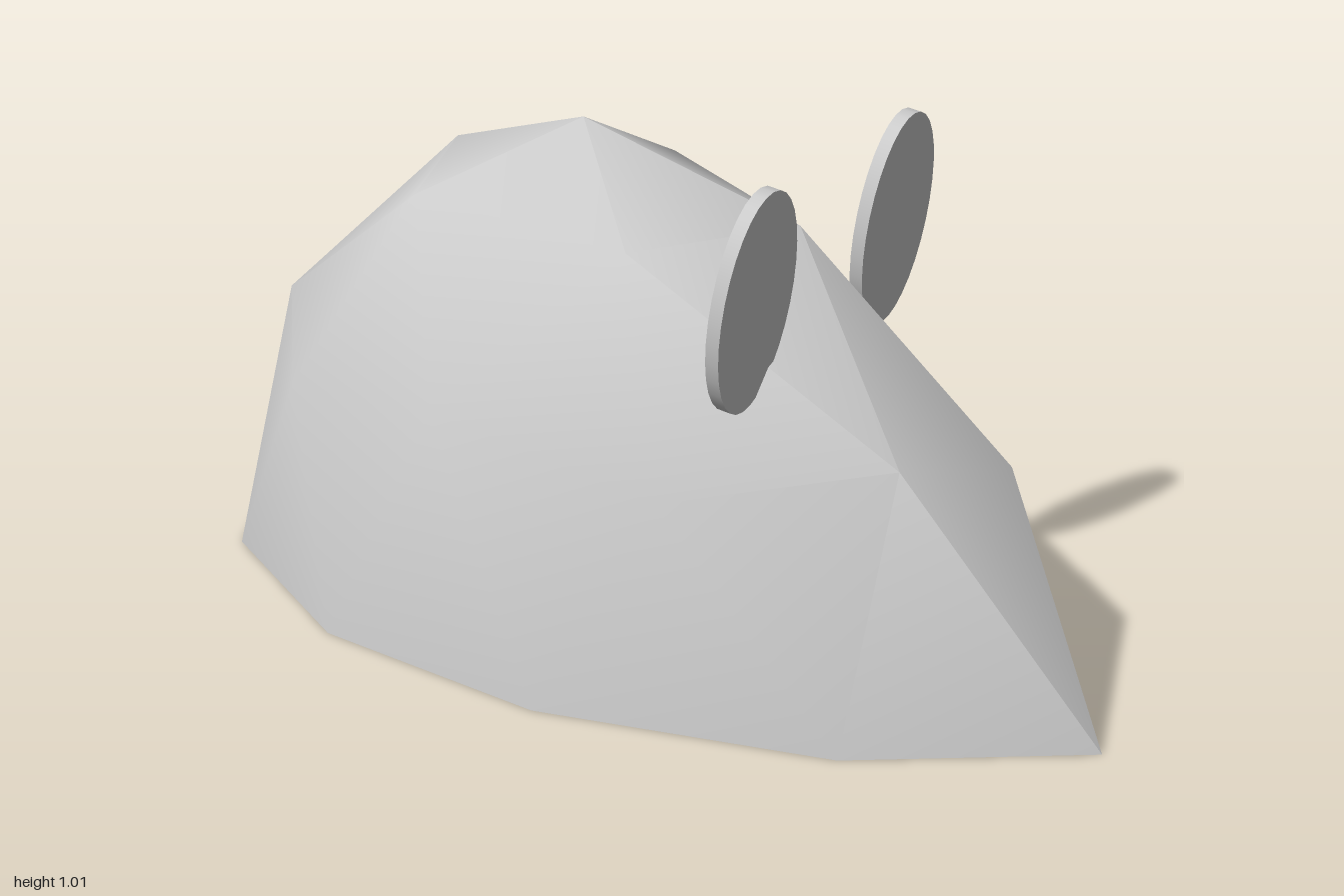
import * as THREE from 'three';
import { toCreasedNormals } from 'three/addons/utils/BufferGeometryUtils.js';

const WIDTH = 0.526, HEIGHT = 0.945;

// Lengthwise stretch: unit sphere z -> body z, drawn out to a pointed nose
const STRETCH = [[-1, -1], [-0.85, -0.86], [-0.809, -0.82], [-0.5, -0.57], [-0.309, -0.405], [0, -0.18],
  [0.309, 0.1], [0.5, 0.26], [0.809, 0.645], [0.85, 0.695], [1, 1]];

function stretchZ(u) {
  let i = 1;
  while (i < STRETCH.length - 1 && u > STRETCH[i][0]) i++;
  const [u0, z0] = STRETCH[i - 1], [u1, z1] = STRETCH[i];
  return z0 + (z1 - z0) * (u - u0) / (u1 - u0);
}

// Upper half of a subdivided icosahedron, one corner pointing straight up
function shellGeometry() {
  const ball = new THREE.IcosahedronGeometry(1, 1);
  ball.rotateX(-Math.atan((1 + Math.sqrt(5)) / 2));
  ball.rotateY(Math.PI / 2);
  const p = ball.attributes.position;
  const out = [];
  for (let i = 0; i < p.count; i += 3) {
    const ids = [i, i + 1, i + 2];
    if (ids.some(k => p.getY(k) < -0.01)) continue;
    for (const k of ids) out.push(p.getX(k) * WIDTH, p.getY(k) * HEIGHT, stretchZ(p.getZ(k)));
  }
  const geo = new THREE.BufferGeometry();
  geo.setAttribute('position', new THREE.Float32BufferAttribute(out, 3));
  return toCreasedNormals(geo, THREE.MathUtils.degToRad(45));
}

// Flat ten-sided underside
function baseGeometry() {
  const pts = [];
  for (let i = 0; i < 10; i++) {
    const a = i * Math.PI / 5;
    pts.push(new THREE.Vector2(Math.sin(a) * WIDTH, stretchZ(Math.cos(a))));
  }
  const geo = new THREE.ShapeGeometry(new THREE.Shape(pts));
  geo.rotateX(Math.PI / 2);
  return geo;
}

export function createModel() {
  const model = new THREE.Group();
  model.name = 'mouse';
  const material = new THREE.MeshStandardMaterial({ color: 0xcccccc });

  const add = (name, geometry) => {
    const mesh = new THREE.Mesh(geometry, material);
    mesh.name = name;
    model.add(mesh);
    return mesh;
  };

  add('body', shellGeometry());
  add('underside', baseGeometry());

  // Thin oval ears, tipped forward and turned slightly
  const earGeometry = new THREE.CylinderGeometry(1, 1, 0.026, 32);
  earGeometry.rotateX(Math.PI / 2);
  earGeometry.scale(0.128, 0.212, 1);
  const ears = [['leftEar', 0.267, 0.787, 0.337], ['rightEar', -0.253, 0.794, 0.404]];
  for (const [name, x, y, z] of ears) {
    const ear = add(name, earGeometry);
    ear.position.set(x, y, z);
    ear.rotation.set(0.135, 0.13, 0, 'YXZ');
  }
  return model;
}
